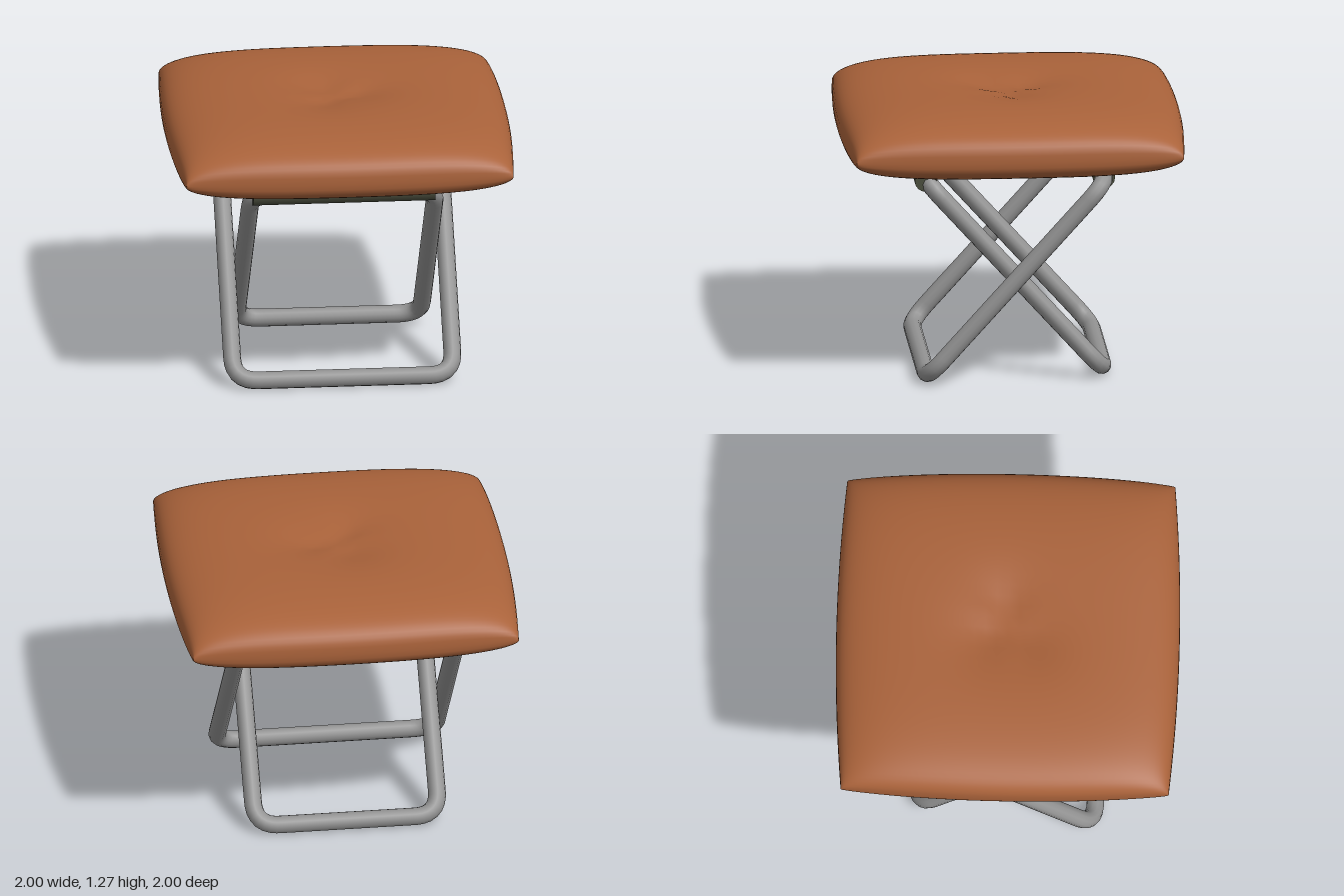
import * as THREE from 'three';
import { mergeGeometries, mergeVertices } from 'three/addons/utils/BufferGeometryUtils.js';

const cushionBrown = new THREE.MeshStandardMaterial({ color: 0xa9623a });
const steelGrey = new THREE.MeshStandardMaterial({ color: 0x929292 });
const canvasOlive = new THREE.MeshStandardMaterial({ color: 0x4a4d3d });

const REACH = 0.4;    // distance of each cross bar from the middle
const BAR_TOP = 0.93; // height of the top bars
const TUBE = 0.04;

function addMesh(parent, name, geometry, material) {
  const mesh = new THREE.Mesh(geometry, material);
  mesh.name = name;
  parent.add(mesh);
  return mesh;
}

// Closed tubular loop with rounded corners, leaning from the floor bar to the top bar
function frameGeometry(halfWidth, side) {
  const corners = [
    new THREE.Vector3(-halfWidth, TUBE, side * REACH),
    new THREE.Vector3(halfWidth, TUBE, side * REACH),
    new THREE.Vector3(halfWidth, BAR_TOP, -side * REACH),
    new THREE.Vector3(-halfWidth, BAR_TOP, -side * REACH),
  ];
  const towards = (a, b) => b.clone().sub(a).setLength(0.11).add(a);
  const path = new THREE.CurvePath();
  corners.forEach((corner, i) => {
    const before = corners[(i + 3) % 4];
    const after = corners[(i + 1) % 4];
    const bendEnd = towards(corner, after);
    path.add(new THREE.QuadraticBezierCurve3(towards(corner, before), corner, bendEnd));
    path.add(new THREE.LineCurve3(bendEnd, towards(after, corner)));
  });
  return new THREE.TubeGeometry(path, 160, TUBE, 12, true);
}

// Pillow: two square sheets puffed apart, meeting in a seam, dimpled in the middle
function cushionGeometry() {
  const puff = (s) => Math.pow(Math.max(0, 1 - s ** 4), 0.35);
  const sheet = (side) => {
    const g = new THREE.PlaneGeometry(2, 2, 48, 48).rotateX(-side * Math.PI / 2);
    const p = g.attributes.position;
    for (let i = 0; i < p.count; i++) {
      // crowd the grid lines towards the rim
      const s = Math.sin(p.getX(i) * Math.PI / 2);
      const t = Math.sin(p.getZ(i) * Math.PI / 2);
      const x = 0.735 * s + 0.035 * s * (1 - t * t);
      const z = 0.735 * t + 0.035 * t * (1 - s * s);
      const r = Math.hypot(x, z);
      const folds = 1 + 0.25 * Math.cos(3 * Math.atan2(z, x)) * Math.min(1, r / 0.1);
      const dimple = side > 0 ? 0.04 * Math.exp(-((r / 0.22) ** 2)) * folds : 0;
      const height = (side > 0 ? 0.16 : 0.143) * puff(s) * puff(t);
      const middle = 1.1 + 0.012 * puff(s) * puff(t);
      p.setXYZ(i, x, middle + side * height - dimple, z);
    }
    g.deleteAttribute('uv');
    g.deleteAttribute('normal');
    return g;
  };
  const g = mergeVertices(mergeGeometries([sheet(1), sheet(-1)]), 1e-5);
  g.computeVertexNormals();
  return g;
}

// Canvas strip between the top bars, sagging a little
function slingGeometry() {
  const g = new THREE.BoxGeometry(0.8, 0.016, REACH * 2, 1, 1, 12);
  const p = g.attributes.position;
  for (let i = 0; i < p.count; i++) {
    const sag = 1 - (p.getZ(i) / REACH) ** 2;
    p.setY(i, p.getY(i) + 0.962 - 0.02 * sag);
  }
  g.computeVertexNormals();
  return g;
}

export function createModel() {
  const model = new THREE.Group();
  model.name = 'foldingStool';

  const stool = new THREE.Group();
  stool.name = 'stool';
  stool.rotation.y = -0.503;
  model.add(stool);

  // Crossed legs: the inner loop folds inside the outer one
  addMesh(stool, 'outerLegFrame', frameGeometry(0.495, 1), steelGrey);
  addMesh(stool, 'innerLegFrame', frameGeometry(0.415, -1), steelGrey);

  // Canvas seat with a sleeve around each top bar
  addMesh(stool, 'canvasSling', slingGeometry(), canvasOlive);
  for (const side of [1, -1]) {
    const sleeve = addMesh(stool, side > 0 ? 'frontSleeve' : 'backSleeve',
      new THREE.CylinderGeometry(0.05, 0.05, 0.82, 16).rotateZ(Math.PI / 2), canvasOlive);
    sleeve.position.set(0, BAR_TOP, side * REACH);
  }

  addMesh(stool, 'cushion', cushionGeometry(), cushionBrown);
  return model;
}
